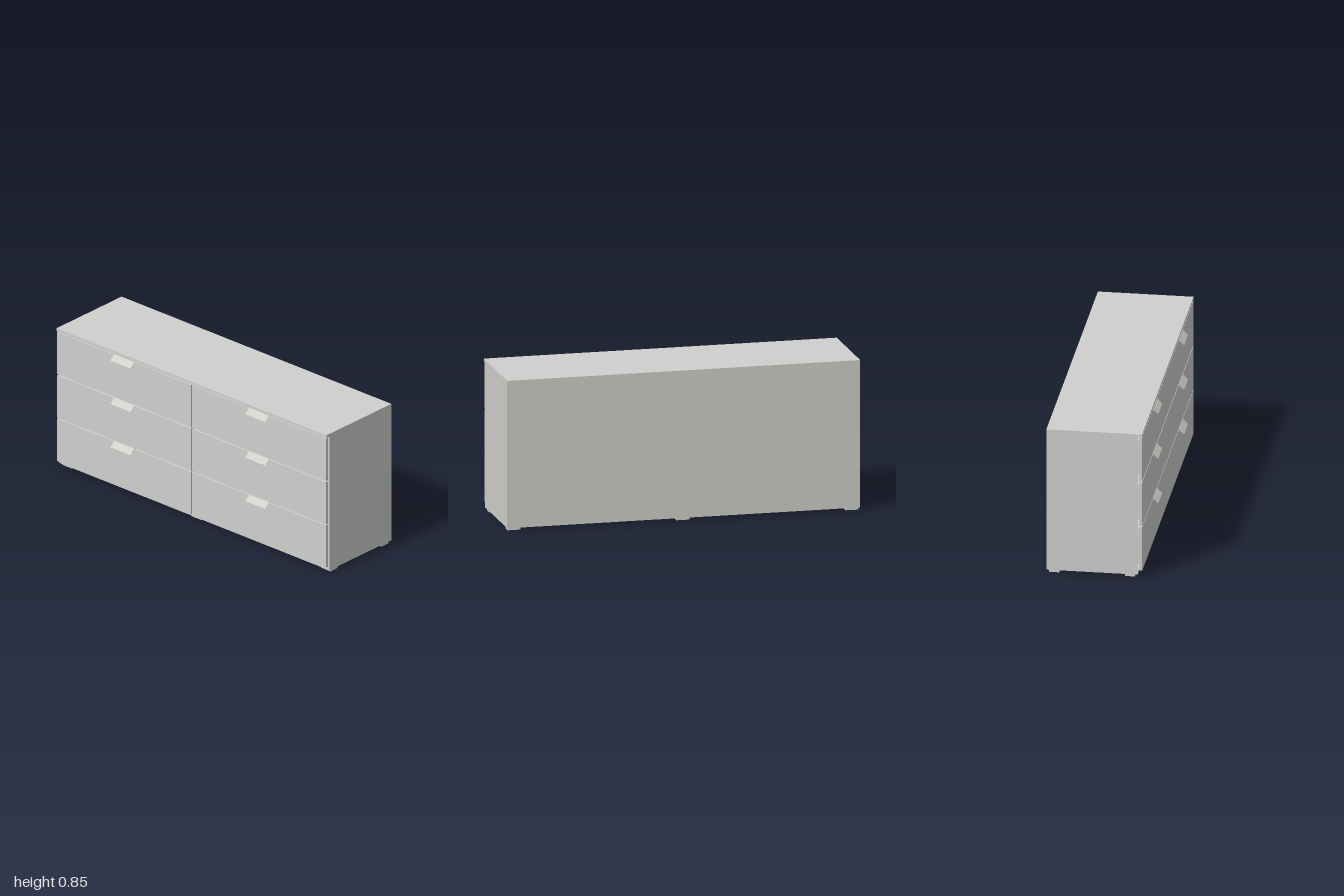
import * as THREE from 'three';

const lacquer = new THREE.MeshStandardMaterial({ color: 0xd0d0cd });
lacquer.name = 'pale grey lacquer';

// Box given by its lower and upper limits on each axis
function slab(parent, name, [x0, x1], [y0, y1], [z0, z1]) {
  const mesh = new THREE.Mesh(new THREE.BoxGeometry(x1 - x0, y1 - y0, z1 - z0), lacquer);
  mesh.position.set((x0 + x1) / 2, (y0 + y1) / 2, (z0 + z1) / 2);
  mesh.name = name;
  parent.add(mesh);
  return mesh;
}

// Bent metal pull: a flat tab on the drawer's top edge and a lip sloping down and forward
function makeHandle(x, top) {
  const profile = new THREE.Shape([
    [0.234, 0], [0.252, 0], [0.282, -0.028], [0.2805, -0.0295], [0.2515, -0.002], [0.234, -0.002],
  ].map(([z, y]) => new THREE.Vector2(-z, y)));
  const width = 0.15;
  const geometry = new THREE.ExtrudeGeometry(profile, { depth: width, bevelEnabled: false });
  geometry.translate(0, 0, -width / 2).rotateY(Math.PI / 2);
  const handle = new THREE.Mesh(geometry, lacquer);
  handle.position.set(x, top, 0);
  handle.name = 'handle';
  return handle;
}

// Drawer: front panel, open box behind it and a handle
function makeDrawer(side, y0, y1) {
  const drawer = new THREE.Group();
  drawer.name = 'drawer';
  const x = side * 0.5;
  slab(drawer, 'drawerFront', [x - 0.496, x + 0.496], [y0, y1], [0.234, 0.252]);

  const half = 0.465, low = y0 + 0.027, high = y1 - 0.028;
  const back = -0.24, front = 0.234, t = 0.012;
  slab(drawer, 'drawerBottom', [x - half + t, x + half - t], [low + 0.004, low + 0.01], [back + t, front - t]);
  slab(drawer, 'drawerInnerFront', [x - half + t, x + half - t], [low, high], [front - t, front]);
  slab(drawer, 'drawerBack', [x - half + t, x + half - t], [low, high], [back, back + t]);
  for (const s of [-1, 1]) {
    const c = x + s * (half - t / 2);
    slab(drawer, 'drawerSide', [c - t / 2, c + t / 2], [low, high], [back, front]);
  }
  drawer.add(makeHandle(x, y1 + 0.001));
  return drawer;
}

export function createModel() {
  const dresser = new THREE.Group();
  dresser.name = 'dresser';

  // Carcass
  const carcass = new THREE.Group();
  carcass.name = 'carcass';
  dresser.add(carcass);
  slab(carcass, 'topPanel', [-1, 1], [0.832, 0.85], [-0.28, 0.252]);
  slab(carcass, 'rightSide', [-1, -0.982], [0.015, 0.832], [-0.28, 0.228]);
  slab(carcass, 'leftSide', [0.982, 1], [0.015, 0.832], [-0.28, 0.228]);
  slab(carcass, 'bottomPanel', [-0.982, 0.982], [0.015, 0.033], [-0.262, 0.228]);
  slab(carcass, 'backPanel', [-0.982, 0.982], [0.015, 0.832], [-0.279, -0.262]);
  slab(carcass, 'divider', [-0.009, 0.009], [0.033, 0.832], [-0.262, 0.228]);

  // Two columns of three drawers
  for (const side of [-1, 1]) {
    for (const [y0, y1] of [[0.038, 0.297], [0.303, 0.562], [0.569, 0.828]]) {
      dresser.add(makeDrawer(side, y0, y1));
    }
  }

  // Six low feet
  for (const x of [-0.957, 0, 0.957]) {
    for (const z of [-0.237, 0.183]) {
      slab(dresser, 'foot', [x - 0.036, x + 0.036], [0, 0.015], [z - 0.028, z + 0.028]);
    }
  }
  return dresser;
}
